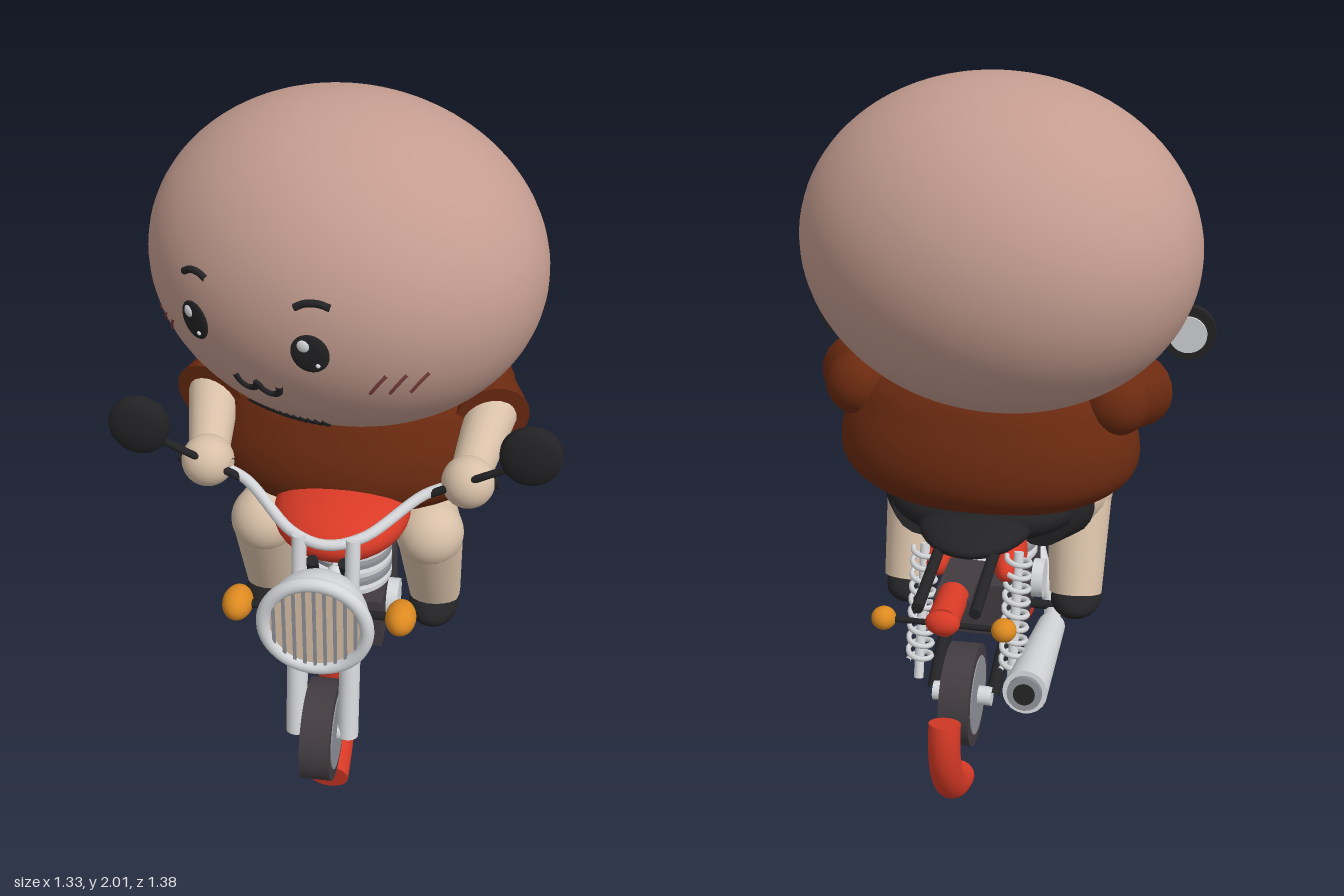
import * as THREE from 'three';

const mat = (name, color, side = THREE.FrontSide) => {
  const m = new THREE.MeshStandardMaterial({ color, side });
  m.name = name;
  return m;
};

export function createModel() {
  const HEAD = mat('rosy head', 0xc59d90), SKIN = mat('tan skin', 0xd8c0a8), BROWN = mat('brown shirt', 0x6b2a10, THREE.DoubleSide);
  const RED = mat('red paint', 0xd93a26), ORANGE = mat('orange lamp', 0xdd8a20), SILVER = mat('silver metal', 0xd4d6d9);
  const GREY = mat('grey metal', 0x8e9097), DARK = mat('dark rubber', 0x423c40), BLACK = mat('black', 0x232325), BLUSH = mat('blush', 0x7c4040);

  const model = new THREE.Group();
  const rider = new THREE.Group(), bike = new THREE.Group(), head = new THREE.Group();
  rider.name = 'rider'; bike.name = 'motorbike'; head.name = 'head';
  for (const g of [rider, bike]) {
    g.position.set(-0.042, 0, 0.0265);
    g.rotation.y = THREE.MathUtils.degToRad(32);
    model.add(g);
  }
  head.position.set(-0.0875, 1.535, -0.01);
  head.rotation.y = THREE.MathUtils.degToRad(10);
  model.add(head);

  // helpers
  const V = (p) => new THREE.Vector3(...p);
  const add = (parent, name, geo, m, pos = [0, 0, 0], rot = [0, 0, 0]) => {
    const mesh = new THREE.Mesh(geo, m);
    mesh.name = name;
    mesh.position.set(...pos);
    mesh.rotation.set(...rot);
    parent.add(mesh);
    return mesh;
  };
  const ball = (parent, name, pos, radii, m, seg = 32) => {
    const b = add(parent, name, new THREE.SphereGeometry(1, seg, seg * 0.75), m, pos);
    b.scale.set(...radii);
    return b;
  };
  const rod = (parent, name, a, b, ra, rb, m) => {
    const A = V(a), B = V(b), d = B.clone().sub(A);
    const mesh = add(parent, name, new THREE.CylinderGeometry(rb, ra, d.length(), 20), m);
    mesh.position.copy(A.add(B).multiplyScalar(0.5));
    mesh.quaternion.setFromUnitVectors(new THREE.Vector3(0, 1, 0), d.normalize());
    return mesh;
  };
  const tube = (parent, name, pts, r, m) => add(parent, name,
    new THREE.TubeGeometry(new THREE.CatmullRomCurve3(pts.map(V)), 40, r, 10), m);
  const disc = (parent, name, r, w, pos, m) => add(parent, name,
    new THREE.CylinderGeometry(r, r, w, 40), m, pos, [0, 0, Math.PI / 2]);
  const sides = [1, -1];

  // head and face
  const [a, b, c] = [0.58, 0.465, 0.495];
  ball(head, 'headShape', [0, 0, 0], [a, b, c], HEAD, 64);
  const onHead = (u, v, out = 0) => [u, v, c * Math.sqrt(1 - (u / a) ** 2 - (v / b) ** 2) + out];
  const faceLine = (name, pts, r, m) => tube(head, name, pts.map(([u, v]) => onHead(u, v)), r, m);
  const patch = (name, u, v, rx, ry, out, m) => {
    const p = onHead(u, v), n = new THREE.Vector3(p[0] / a ** 2, p[1] / b ** 2, p[2] / c ** 2).normalize();
    const mesh = ball(head, name, p, [rx, ry, 0.009], m);
    mesh.position.addScaledVector(n, out);
    mesh.quaternion.setFromUnitVectors(new THREE.Vector3(0, 0, 1), n);
  };
  for (const s of sides) {
    patch('eye', s * 0.178, -0.035, 0.052, 0.056, 0.004, BLACK);
    patch('eyeShine', s * 0.178 - 0.014, -0.012, 0.018, 0.018, 0.009, SILVER);
    patch('eyeGlint', s * 0.178 + 0.02, -0.064, 0.007, 0.007, 0.009, SILVER);
    faceLine('eyebrow', [-0.045, -0.02, 0.015, 0.045].map((d, i) => [s * 0.18 + d, 0.085 + [0, 0.013, 0.016, 0.008][i]]), 0.01, BLACK);
    for (let i = -1; i <= 1; i++) {
      const u = s * 0.37 + i * 0.043;
      faceLine('cheekLine', [[u - 0.023, -0.16], [u, -0.127], [u + 0.023, -0.095]], 0.005, BLUSH);
    }
  }
  faceLine('mouth', [[-0.07, -0.17], [-0.06, -0.2], [-0.035, -0.212], [-0.01, -0.2], [0, -0.178],
    [0.01, -0.2], [0.035, -0.212], [0.06, -0.2], [0.07, -0.17]], 0.01, BLACK);
  for (let i = 0; i < 12; i++) {
    const u = -0.12 + i * 0.0215;
    faceLine('beardHair', [[u - 0.003, -0.368], [u, -0.345], [u + 0.003, -0.322]], 0.0075, BLACK);
  }

  // torso and shorts
  const torso = add(rider, 'shirt', new THREE.LatheGeometry(new THREE.SplineCurve(
    [[0.001, 0.79], [0.28, 0.79], [0.4, 0.845], [0.44, 0.93], [0.41, 1.05], [0.31, 1.17], [0.001, 1.25]]
      .map((p) => new THREE.Vector2(...p))).getPoints(40), 48), BROWN, [0, 0, -0.07]);
  torso.scale.z = 0.66;
  ball(rider, 'shorts', [0, 0.78, -0.13], [0.28, 0.1, 0.2], BLACK);

  for (const s of sides) {
    // arms
    ball(rider, 'shoulder', [s * 0.37, 1.115, -0.12], [0.1, 0.1, 0.1], BROWN);
    rod(rider, 'sleeve', [s * 0.37, 1.115, -0.12], [s * 0.415, 1.09, 0.03], 0.095, 0.11, BROWN);
    rod(rider, 'forearm', [s * 0.41, 1.09, 0], [s * 0.375, 1.03, 0.22], 0.075, 0.058, SKIN);
    ball(rider, 'hand', [s * 0.37, 1.02, 0.26], [0.075, 0.075, 0.075], SKIN);
    // legs
    rod(rider, 'shortsLeg', [s * 0.16, 0.77, -0.16], [s * 0.215, 0.745, -0.03], 0.11, 0.11, BLACK);
    rod(rider, 'thigh', [s * 0.18, 0.76, -0.12], [s * 0.25, 0.72, 0.1], 0.1, 0.1, SKIN);
    ball(rider, 'knee', [s * 0.25, 0.72, 0.1], [0.102, 0.102, 0.102], SKIN);
    rod(rider, 'shin', [s * 0.25, 0.72, 0.1], [s * 0.26, 0.42, -0.01], 0.1, 0.08, SKIN);
    ball(rider, 'shoe', [s * 0.26, 0.39, 0.015], [0.078, 0.052, 0.11], BLACK);
  }

  // wheels
  for (const z of [0.555, -0.465]) {
    disc(bike, 'tyre', 0.145, 0.085, [0, 0.32, z], DARK);
    disc(bike, 'wheelDisc', 0.112, 0.092, [0, 0.32, z], GREY);
    disc(bike, 'hub', 0.027, 0.17, [0, 0.32, z], SILVER);
  }

  // fenders: partial rings around each wheel, with end caps
  const fender = (name, z0, R, r, from, to) => {
    const g = new THREE.Group();
    g.name = name;
    g.position.set(0, 0.32, z0);
    g.rotation.y = -Math.PI / 2;
    bike.add(g);
    const arc = add(g, 'fenderArc', new THREE.TorusGeometry(R, r, 20, 40, to - from), RED);
    arc.rotation.z = from;
    for (const [t, flip] of [[from, 1], [to, -1]]) {
      const cap = add(g, 'fenderEnd', new THREE.CircleGeometry(r, 20), RED, [R * Math.cos(t), R * Math.sin(t), 0]);
      cap.lookAt(0, 0, 0);
      cap.quaternion.setFromUnitVectors(new THREE.Vector3(0, 0, 1),
        new THREE.Vector3(Math.sin(t) * flip, -Math.cos(t) * flip, 0));
    }
  };
  const rad = THREE.MathUtils.degToRad;
  fender('frontFender', 0.555, 0.28, 0.06, rad(124), rad(254));
  fender('rearFender', -0.465, 0.25, 0.044, rad(165), rad(258));

  // headlight
  add(bike, 'headlightBowl', new THREE.SphereGeometry(0.145, 40, 20, 0, Math.PI * 2, 0, Math.PI / 2), SILVER, [0, 0.76, 0.61], [-Math.PI / 2, 0, 0]);
  add(bike, 'headlightRim', new THREE.TorusGeometry(0.142, 0.02, 14, 48), SILVER, [0, 0.76, 0.63]);
  add(bike, 'headlightLens', new THREE.CylinderGeometry(0.135, 0.135, 0.03, 48), SKIN, [0, 0.76, 0.62], [Math.PI / 2, 0, 0]);
  for (let i = -4; i <= 4; i++) {
    const x = i * 0.028;
    add(bike, 'lensBar', new THREE.BoxGeometry(0.009, 2 * Math.sqrt(0.128 ** 2 - x * x), 0.008), GREY, [x, 0.76, 0.638]);
  }

  // tank, seat, tail
  ball(bike, 'fuelTank', [0, 0.83, 0.17], [0.2, 0.1, 0.23], RED);
  ball(bike, 'seat', [0, 0.765, -0.22], [0.17, 0.055, 0.24], BLACK);
  add(bike, 'tailPlate', new THREE.BoxGeometry(0.1, 0.03, 0.22), DARK, [0, 0.7, -0.5]);
  rod(bike, 'tailLamp', [0, 0.71, -0.58], [0, 0.71, -0.72], 0.042, 0.042, RED);
  ball(bike, 'tailLampEnd', [0, 0.71, -0.72], [0.046, 0.035, 0.03], RED);
  rod(bike, 'tailStalk', [-0.15, 0.7, -0.71], [0.15, 0.7, -0.71], 0.008, 0.008, BLACK);

  // engine
  add(bike, 'crankcase', new THREE.BoxGeometry(0.24, 0.17, 0.36), DARK, [0, 0.42, 0.01]);
  rod(bike, 'cylinderBlock', [0, 0.49, 0.05], [0, 0.74, 0.05], 0.1, 0.1, DARK);
  for (let i = 0; i < 7; i++) add(bike, 'coolingFin', new THREE.CylinderGeometry(0.13, 0.13, 0.015, 32), i % 2 ? GREY : SILVER, [0, 0.52 + i * 0.031, 0.05]);

  for (const s of sides) {
    disc(bike, 'engineCover', 0.06, 0.05, [s * 0.13, 0.42, 0.05], SILVER);
    // fork and front lamps
    rod(bike, 'forkLower', [s * 0.075, 0.31, 0.56], [s * 0.075, 0.6, 0.505], 0.03, 0.03, SILVER);
    rod(bike, 'forkUpper', [s * 0.075, 0.58, 0.51], [s * 0.075, 0.92, 0.44], 0.021, 0.021, SILVER);
    rod(bike, 'lampStalk', [s * 0.1, 0.77, 0.57], [s * 0.21, 0.77, 0.57], 0.012, 0.012, BLACK);
    ball(bike, 'frontIndicator', [s * 0.225, 0.77, 0.57], [0.042, 0.045, 0.058], ORANGE);
    // rear frame, lamps and side covers
    rod(bike, 'tailBar', [s * 0.077, 0.76, -0.3], [s * 0.077, 0.72, -0.68], 0.016, 0.016, BLACK);
    ball(bike, 'rearIndicator', [s * 0.16, 0.7, -0.71], [0.033, 0.031, 0.033], ORANGE);
    ball(bike, 'sideCover', [s * 0.1, 0.665, -0.26], [0.045, 0.055, 0.12], RED);
    tube(bike, 'swingArm', [[s * 0.09, 0.38, -0.1], [s * 0.09, 0.385, -0.32], [s * 0.085, 0.32, -0.465]], 0.02, BLACK);
    rod(bike, 'downTube', [s * 0.045, 0.82, 0.42], [s * 0.07, 0.36, 0.18], 0.017, 0.017, BLACK);
    rod(bike, 'footPeg', [s * 0.1, 0.35, 0.01], [s * 0.27, 0.35, 0.01], 0.014, 0.014, BLACK);
    // shock with coil spring
    const lo = [s * 0.135, 0.34, -0.44], hi = [s * 0.135, 0.72, -0.33], coil = [];
    rod(bike, 'shock', lo, hi, 0.014, 0.014, SILVER);
    for (let i = 0; i <= 108; i++) {
      const t = i / 108, w = i / 12 * Math.PI * 2;
      coil.push(V(lo).lerp(V(hi), 0.12 + 0.85 * t).add(V([0.034 * Math.cos(w), 0, 0.034 * Math.sin(w)])));
    }
    add(bike, 'spring', new THREE.TubeGeometry(new THREE.CatmullRomCurve3(coil), 216, 0.008, 6), SILVER);
    // mirrors and grips
    rod(bike, 'mirrorStalk', [s * 0.27, 0.99, 0.29], [s * 0.5, 1.13, 0.33], 0.012, 0.01, BLACK);
    ball(bike, 'mirrorShell', [s * 0.54, 1.165, 0.335], [0.085, 0.088, 0.03], BLACK);
    add(bike, 'mirrorRim', new THREE.CylinderGeometry(0.085, 0.085, 0.022, 32), BLACK, [s * 0.54, 1.165, 0.325], [Math.PI / 2, 0, 0]);
    add(bike, 'mirrorGlass', new THREE.CylinderGeometry(0.058, 0.058, 0.008, 32), SILVER, [s * 0.54, 1.165, 0.303], [Math.PI / 2, 0, 0]);
    rod(bike, 'grip', [s * 0.3, 1.01, 0.27], [s * 0.45, 1.025, 0.245], 0.026, 0.026, BLACK);
  }

  // handlebar and exhaust
  tube(bike, 'handlebar', [[-0.38, 1.02, 0.26], [-0.26, 0.99, 0.29], [-0.1, 0.915, 0.42], [0, 0.9, 0.45],
    [0.1, 0.915, 0.42], [0.26, 0.99, 0.29], [0.38, 1.02, 0.26]], 0.016, SILVER);
  tube(bike, 'exhaustPipe', [[-0.02, 0.6, 0.16], [-0.05, 0.55, 0.29], [-0.08, 0.42, 0.32], [-0.13, 0.33, 0.22],
    [-0.18, 0.32, 0.05], [-0.2, 0.35, -0.12]], 0.026, SILVER);
  rod(bike, 'muffler', [-0.2, 0.345, -0.1], [-0.2, 0.44, -0.6], 0.042, 0.062, SILVER);
  rod(bike, 'mufflerTip', [-0.2, 0.435, -0.57], [-0.2, 0.443, -0.615], 0.048, 0.048, GREY);
  rod(bike, 'mufflerOpening', [-0.2, 0.44, -0.6], [-0.2, 0.444, -0.619], 0.03, 0.03, BLACK);
  return model;
}
